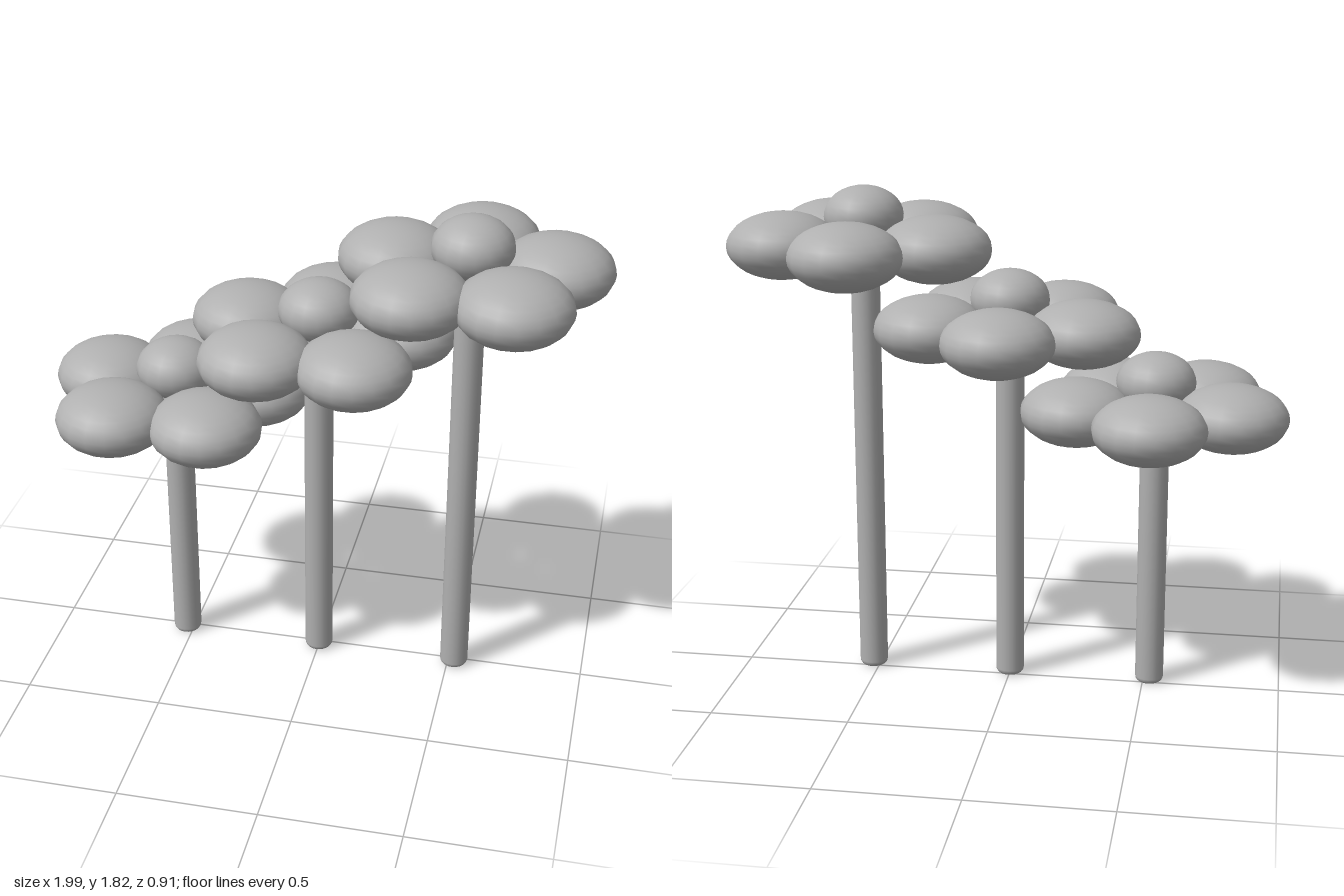
import * as THREE from 'three';

const CENTER_Z = 0.022;
const RING = 0.287; // distance of each petal from the flower's axis

export function createModel() {
  const group = new THREE.Group();
  group.name = 'flowers';
  const grey = new THREE.MeshStandardMaterial({ color: 0xb0b0b0 });
  grey.name = 'grey';

  const petalGeo = new THREE.SphereGeometry(1, 18, 16).scale(0.2, 0.119, 0.2);
  const budGeo = new THREE.SphereGeometry(1, 18, 16).scale(0.142, 0.107, 0.142);

  const add = (parent, name, geometry, x, y, z) => {
    const mesh = new THREE.Mesh(geometry, grey);
    mesh.name = name;
    mesh.position.set(x, y, z);
    parent.add(mesh);
  };

  // stem with softly rounded ends
  const stemGeo = (height) => {
    const r = 0.052, b = 0.022;
    const points = [new THREE.Vector2(0, 0)];
    for (let end = 0; end < 2; end++) {
      for (let i = 0; i <= 4; i++) {
        const a = ((end ? i : i - 4) / 4) * Math.PI / 2;
        points.push(new THREE.Vector2(
          r - b + b * Math.cos(a),
          (end ? height - b : b) + b * Math.sin(a)
        ));
      }
    }
    points.push(new THREE.Vector2(0, height));
    return new THREE.LatheGeometry(points, 20);
  };

  // three flowers rising towards the model's left
  for (let n = 0; n < 3; n++) {
    const flower = new THREE.Group();
    flower.name = 'flower' + (n + 1);
    flower.position.set((n - 1) * 0.523, 0, CENTER_Z);
    const headY = 1.049 + n * 0.283;

    add(flower, 'stem', stemGeo(headY + 0.03), 0, 0, 0);
    add(flower, 'flowerCenter', budGeo, 0, headY + 0.098, 0);
    for (let i = 0; i < 5; i++) {
      const a = (i / 5) * Math.PI * 2; // first petal points to the back
      add(flower, 'petal', petalGeo, Math.sin(a) * RING, headY, -Math.cos(a) * RING);
    }
    group.add(flower);
  }
  return group;
}
